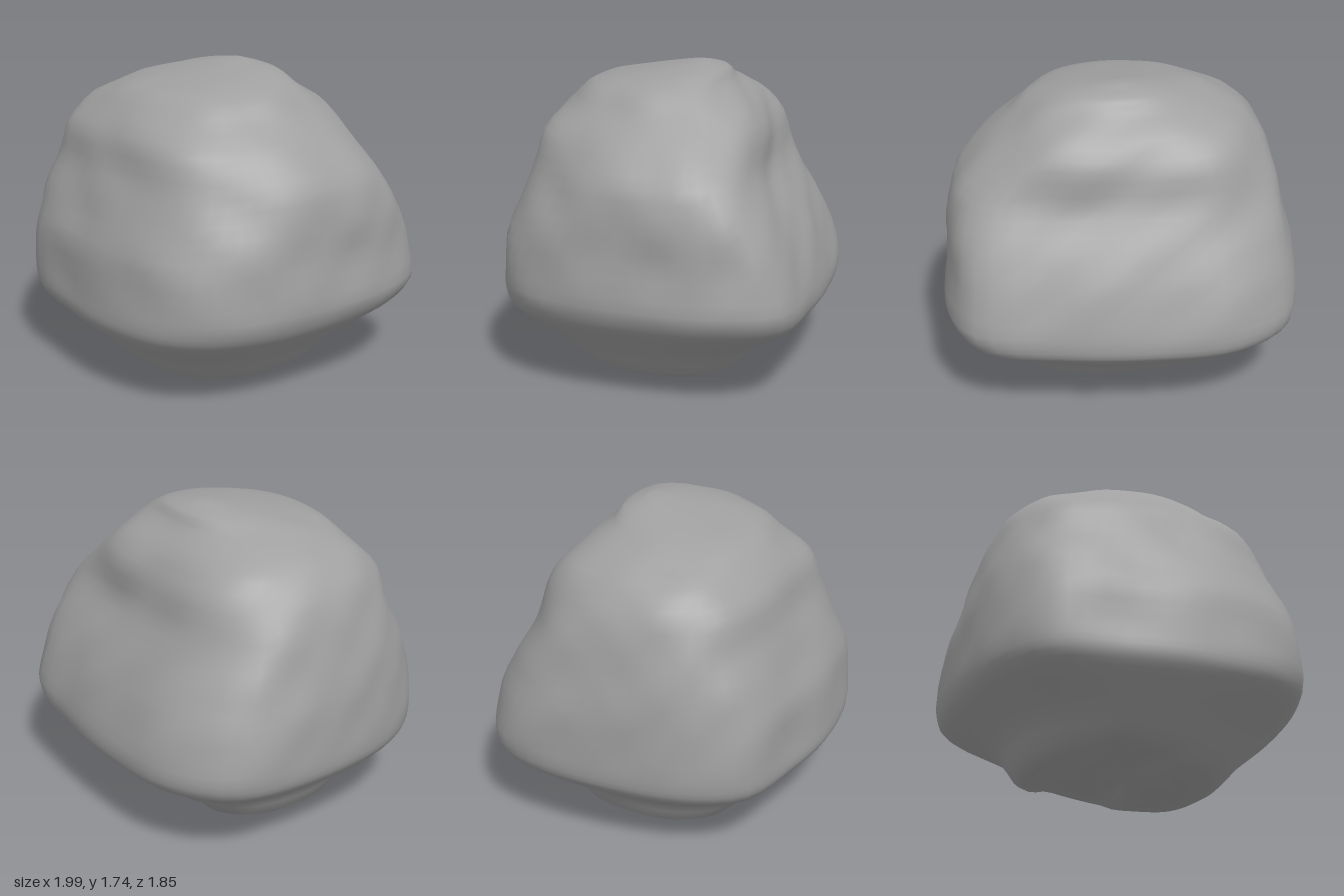
import * as THREE from 'three';
import { mergeVertices } from 'three/addons/utils/BufferGeometryUtils.js';

const SEGMENTS = 64;
const STEPS = 3;

// Plan outline of the widest part, x and z, clockwise seen from above
const PLAN = [
  [-0.94, -0.6], [-0.82, -0.78], [-0.5, -0.92], [0, -0.9], [0.45, -0.83], [0.88, -0.71],
  [1, -0.38], [0.93, 0.2], [0.84, 0.5], [0.67, 0.76], [0.42, 0.9], [0, 0.91],
  [-0.38, 0.83], [-0.8, 0.7], [-0.95, 0.45], [-1, 0],
];

// Key cross-sections: height, x min, x max, z min, z max, roundness
const SECTIONS = [
  [0.01, -0.06, -0.06, 0.03, 0.03, 0.5],
  [0.015, -0.58, 0.44, -0.39, 0.45, 0.4],
  [0.2, -0.72, 0.65, -0.61, 0.68, 0.5],
  [0.36, -0.93, 0.85, -0.83, 0.87, 0.2],
  [0.44, -0.99, 0.94, -0.91, 0.92, 0.1],
  [0.56, -1, 0.99, -0.91, 0.92, 0],
  [0.8, -0.99, 0.96, -0.84, 0.9, 0.03],
  [1.0, -0.96, 0.95, -0.74, 0.83, 0.1],
  [1.2, -0.92, 0.9, -0.62, 0.74, 0.2],
  [1.38, -0.85, 0.74, -0.57, 0.69, 0.36],
  [1.52, -0.74, 0.59, -0.48, 0.58, 0.52],
  [1.63, -0.5, 0.47, -0.35, 0.44, 0.7],
  [1.7, -0.28, 0.28, -0.3, 0.1, 0.9],
  [1.745, -0.01, -0.01, -0.16, -0.16, 1],
];

// Smooth cross-sections between the keys, evenly stepped
function sampleSections() {
  const half = start => new THREE.CatmullRomCurve3(
    SECTIONS.map(s => new THREE.Vector3(...s.slice(start, start + 3))), false, 'catmullrom', 0.4);
  const count = (SECTIONS.length - 1) * STEPS;
  const first = half(0).getPoints(count), second = half(3).getPoints(count);
  return first.map((p, i) => [...p.toArray(), ...second[i].toArray()]);
}

// Underside height along x: two feet with a shallow arch between them
const FLOOR = [[-0.6, 0.01], [-0.55, 0.015], [-0.3, 0.1], [-0.02, 0.07], [0.1, 0], [0.45, 0.015]];
function floorHeight(x) {
  for (let i = 1; i < FLOOR.length; i++) {
    const [x0, y0] = FLOOR[i - 1], [x1, y1] = FLOOR[i];
    if (x >= x0 && x <= x1) return y0 + (y1 - y0) * (x - x0) / (x1 - x0);
  }
  return 0;
}

// Local knocks and bulges: centre, radius, depth along the outward direction
const DENTS = [
  [0.35, 1.47, -0.52, 0.2, 0.05], [0.3, 1.2, -0.62, 0.2, -0.04],
  [0.62, 1.1, 0.55, 0.2, -0.04], [0.45, 1.5, 0.3, 0.2, -0.03],
  [0.3, 1.35, 0.6, 0.18, 0.02], [-0.5, 1.3, -0.55, 0.22, 0.03],
];
function sculpt(p) {
  const out = new THREE.Vector3(p.x, (p.y - 0.8) * 0.5, p.z).normalize();
  let push = 0;
  for (const [x, y, z, r, depth] of DENTS) {
    const d2 = (p.x - x) ** 2 + (p.y - y) ** 2 + (p.z - z) ** 2;
    push += depth * Math.exp(-d2 / (r * r));
  }
  // Gentle weathering, absent on the smooth underside
  const fade = THREE.MathUtils.smoothstep(p.y, 0.4, 0.75) * (1 - THREE.MathUtils.smoothstep(p.y, 1.6, 1.74));
  const rough = Math.sin(9 * p.x + 4 * p.y) * Math.sin(8 * p.y - 5 * p.z + 1) * 0.6
    + Math.sin(17 * p.z + 6 * p.x) * Math.sin(15 * p.y + 7 * p.x + 2) * 0.4;
  p.addScaledVector(out, push + rough * fade * 0.016);
}

function rockGeometry() {
  const curve = new THREE.CatmullRomCurve3(PLAN.map(([x, z]) => new THREE.Vector3(x, 0, z / 0.92)), true);
  const plan = curve.getSpacedPoints(SEGMENTS).slice(0, SEGMENTS);
  const positions = [], index = [];
  sampleSections().forEach(([y, x0, x1, z0, z1, round], i) => {
    plan.forEach((q, j) => {
      const s = THREE.MathUtils.lerp(1, 1 / q.length(), round);
      const p = new THREE.Vector3(
        (x0 + x1) / 2 + q.x * s * (x1 - x0) / 2, y,
        (z0 + z1) / 2 + q.z * s * (z1 - z0) / 2);
      if (y < 0.12) p.y = Math.max(y, floorHeight(p.x));
      else sculpt(p);
      positions.push(p.x, p.y, p.z);
      if (i === 0) return;
      const k = (j + 1) % SEGMENTS;
      const a = (i - 1) * SEGMENTS + j, b = (i - 1) * SEGMENTS + k;
      const c = i * SEGMENTS + j, d = i * SEGMENTS + k;
      index.push(a, c, b, b, c, d);
    });
  });
  const geometry = new THREE.BufferGeometry();
  geometry.setAttribute('position', new THREE.Float32BufferAttribute(positions, 3));
  geometry.setIndex(index);
  const welded = mergeVertices(geometry, 1e-4);
  welded.computeVertexNormals();
  return welded;
}

export function createModel() {
  const stone = new THREE.MeshStandardMaterial({ color: 0xa0a0a0 });
  stone.name = 'stone grey';
  const boulder = new THREE.Mesh(rockGeometry(), stone);
  boulder.name = 'boulder';
  const group = new THREE.Group();
  group.name = 'rock';
  group.add(boulder);
  return group;
}
